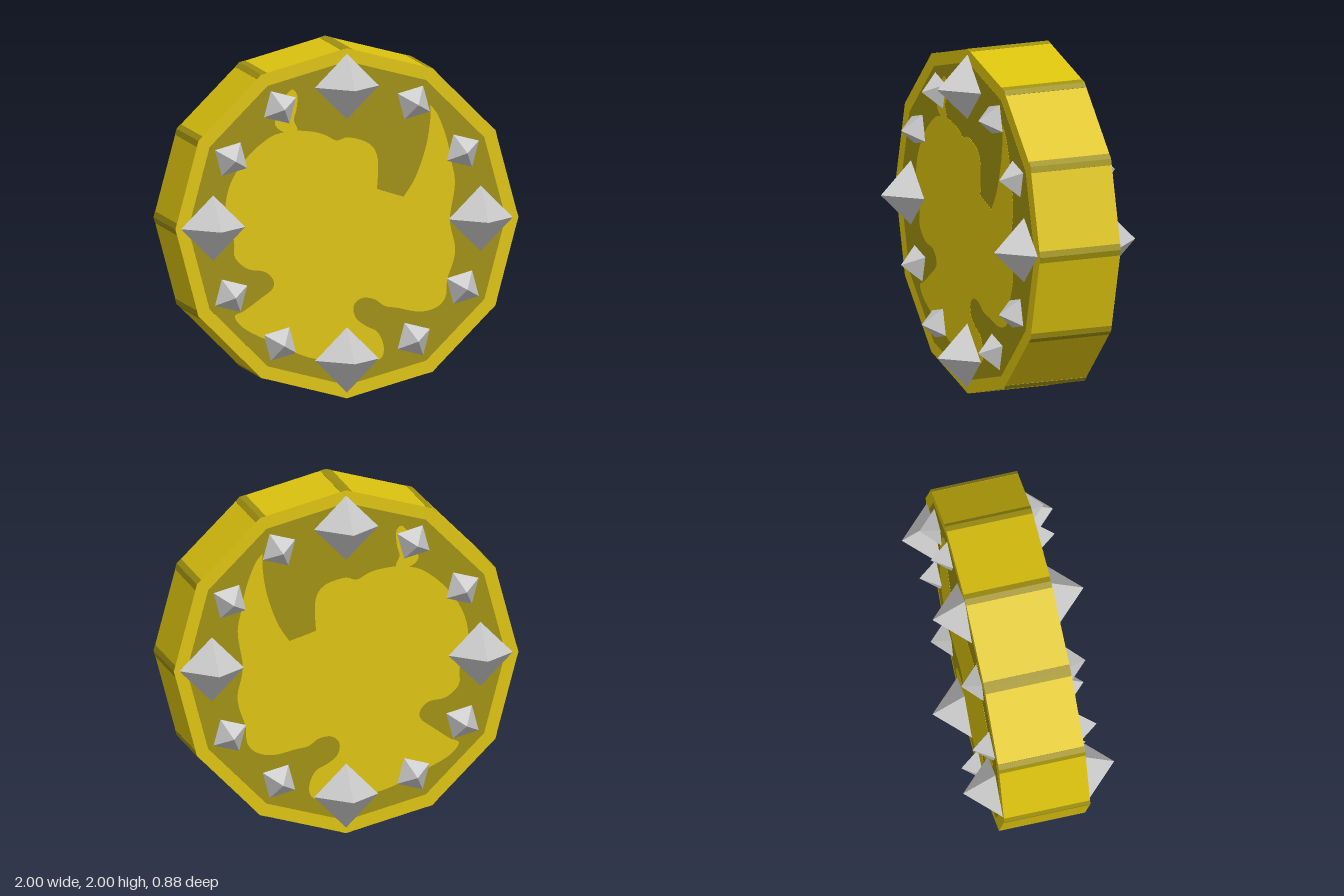
import * as THREE from 'three';

const SIDES = 12, HALF = 0.25, CENTRE_Y = 1;

function material(name, color) {
  const m = new THREE.MeshStandardMaterial({ color });
  m.name = name;
  return m;
}

// Point on the twelve-sided rim, corner 0 at the top
function corner(i, r = 1) {
  const a = Math.PI / 2 + (i * Math.PI * 2) / SIDES;
  return new THREE.Vector2(Math.cos(a) * r, Math.sin(a) * r);
}

const ring = r => Array.from({ length: SIDES }, (_, i) => corner(i, r));

// Slab of the given half depth, centred on z = 0, so it serves both faces
function slab(name, shape, half, mat) {
  const g = new THREE.ExtrudeGeometry(shape, { depth: half * 2, bevelEnabled: false, curveSegments: 100 });
  g.translate(0, 0, -half);
  const mesh = new THREE.Mesh(g, mat);
  mesh.name = name;
  return mesh;
}

// Smooth closed outline with a few sharp cusps: each run is one spline
function blob(runs) {
  const pts = [];
  for (const run of runs) {
    const curve = new THREE.SplineCurve(run.map(([x, y]) => new THREE.Vector2(x, y - CENTRE_Y)));
    pts.push(...curve.getPoints(run.length * 4).slice(0, -1));
  }
  return new THREE.Shape(pts);
}

export function createModel() {
  const gold = material('gold', 0xdcc30e);
  const darkGold = material('dark gold', 0x9f9010);
  const steel = material('steel', 0xcccccc);

  const model = new THREE.Group();
  model.name = 'studdedDisc';
  model.position.y = CENTRE_Y;

  // Disc, dark inset face and the light worn patch in its middle
  model.add(slab('disc', new THREE.Shape(ring(1)), HALF, gold));
  model.add(slab('darkFace', new THREE.Shape(ring(0.925)), HALF + 0.001, darkGold));
  const patch = blob([
    [[-0.29, 1.54], [-0.2, 1.53], [-0.13, 1.51], [-0.06, 1.475], [0.01, 1.49], [0.13, 1.45],
      [0.18, 1.36], [0.175, 1.19]],
    [[0.175, 1.19], [0.25, 1.165], [0.33, 1.14]],
    [[0.33, 1.14], [0.40, 1.25], [0.46, 1.42], [0.485, 1.57], [0.485, 1.66]],
    [[0.485, 1.66], [0.53, 1.6], [0.58, 1.47], [0.61, 1.33], [0.63, 1.2], [0.6, 1], [0.63, 0.85],
      [0.62, 0.76], [0.585, 0.66], [0.575, 0.56], [0.52, 0.5], [0.42, 0.48], [0.3, 0.505],
      [0.22, 0.52], [0.16, 0.56], [0.09, 0.57], [0.04, 0.53], [0.05, 0.46], [0.11, 0.41],
      [0.18, 0.37], [0.215, 0.28], [0.18, 0.21], [0, 0.2], [-0.18, 0.23], [-0.3, 0.27],
      [-0.47, 0.35], [-0.6, 0.42], [-0.655, 0.49], [-0.6, 0.52], [-0.5, 0.59], [-0.435, 0.64],
      [-0.43, 0.69], [-0.48, 0.74], [-0.58, 0.76], [-0.655, 0.83], [-0.66, 0.93], [-0.71, 1.08],
      [-0.68, 1.25], [-0.58, 1.4], [-0.46, 1.5], [-0.38, 1.53], [-0.29, 1.54]],
  ]);
  model.add(slab('wornPatch', patch, HALF + 0.002, gold));
  const drip = blob([
    [[-0.36, 1.74], [-0.32, 1.775], [-0.29, 1.74], [-0.295, 1.66], [-0.31, 1.6], [-0.29, 1.54],
      [-0.36, 1.53], [-0.42, 1.58], [-0.39, 1.66], [-0.36, 1.74]],
  ]);
  model.add(slab('wornDrip', drip, HALF + 0.002, gold));

  // Dark bands wrapped over the corners of the outer wall
  for (let i = 0; i < SIDES; i++) {
    const edge = r => [corner(i, r).lerp(corner(i - 1, r), 0.068), corner(i, r),
      corner(i, r).lerp(corner(i + 1, r), 0.068)];
    const shape = new THREE.Shape([...edge(1.0015), ...edge(0.985).reverse()]);
    model.add(slab('cornerBand', shape, HALF - 0.0005, darkGold));
  }

  // Pointed studs on both faces: large at the quarters, small between
  const studs = new THREE.Group();
  studs.name = 'studs';
  for (const side of [1, -1]) {
    for (let i = 0; i < SIDES; i++) {
      const large = i % 3 === 0;
      const stud = new THREE.Mesh(new THREE.OctahedronGeometry(large ? 0.188 : 0.11), steel);
      const p = corner(i, 0.78);
      stud.position.set(p.x, p.y, side * HALF);
      stud.rotation.z = (i * Math.PI * 2) / SIDES;
      stud.name = large ? 'largeStud' : 'smallStud';
      studs.add(stud);
    }
  }
  model.add(studs);

  const root = new THREE.Group();
  root.name = 'model';
  root.add(model);
  return root;
}
